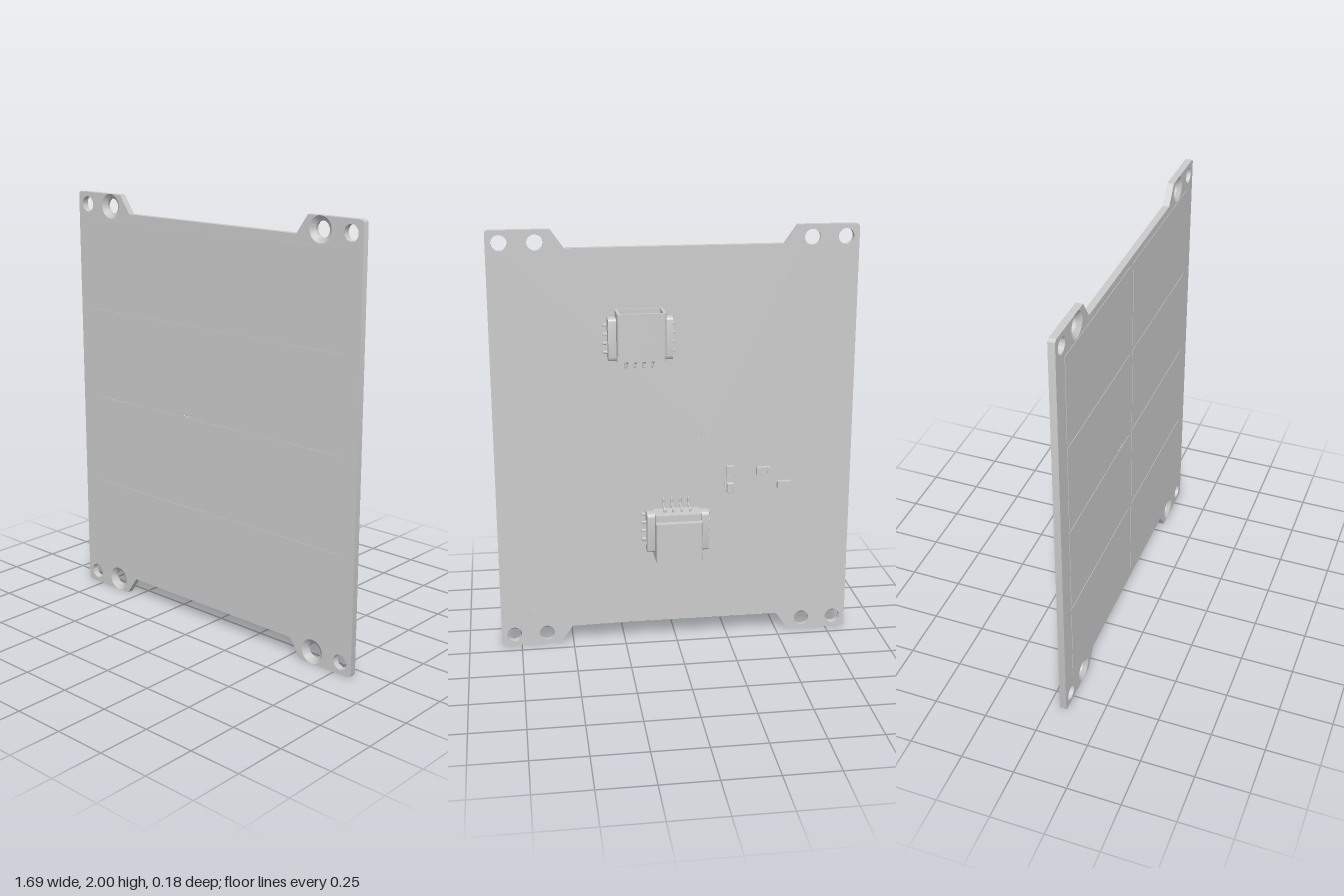
import * as THREE from 'three';
import { toCreasedNormals } from 'three/addons/utils/BufferGeometryUtils.js';
import { RoundedBoxGeometry } from 'three/addons/geometries/RoundedBoxGeometry.js';

const BACK = 0.055, FRONT = 0.086, MID = 0.07; // board depth levels
const grey = new THREE.MeshStandardMaterial({ color: 0xcccccc });

function add(parent, name, geometry, x = 0, y = 0, z = 0) {
  const mesh = new THREE.Mesh(geometry, grey);
  mesh.name = name;
  mesh.position.set(x, y, z);
  parent.add(mesh);
  return mesh;
}
const box = (w, h, d) => new THREE.BoxGeometry(w, h, d);

function roundedRect(target, x0, y0, x1, y1, r) {
  target.moveTo(x0 + r, y0);
  target.lineTo(x1 - r, y0).quadraticCurveTo(x1, y0, x1, y0 + r);
  target.lineTo(x1, y1 - r).quadraticCurveTo(x1, y1, x1 - r, y1);
  target.lineTo(x0 + r, y1).quadraticCurveTo(x0, y1, x0, y1 - r);
  target.lineTo(x0, y0 + r).quadraticCurveTo(x0, y0, x0 + r, y0);
  return target;
}

function extrude(shape, depth, curveSegments = 6) {
  return new THREE.ExtrudeGeometry(shape, { depth, bevelEnabled: false, curveSegments });
}

// Mounting holes: straight outer ones and countersunk inner ones
const mounts = [], sinks = [];
for (const sx of [-1, 1]) for (const y of [0.057, 1.943]) {
  mounts.push([sx * 0.784, y]);
  sinks.push([sx * 0.627, y]);
}
const vias = [[-0.155, 1.01], [-0.135, 1.01], [-0.115, 1.01]];
const blindVias = [[0.73, 0.18], [0.685, 0.18]];

// Board outline with four corner tabs
function boardShape(sinkRadius) {
  const W = 0.845, r = 0.02, s = new THREE.Shape();
  s.moveTo(-W + r, 0);
  s.lineTo(-0.56, 0).lineTo(-0.5, 0.088).lineTo(0.5, 0.088).lineTo(0.56, 0);
  s.lineTo(W - r, 0).quadraticCurveTo(W, 0, W, r);
  s.lineTo(W, 2 - r).quadraticCurveTo(W, 2, W - r, 2);
  s.lineTo(0.56, 2).lineTo(0.5, 1.915).lineTo(-0.5, 1.915).lineTo(-0.56, 2);
  s.lineTo(-W + r, 2).quadraticCurveTo(-W, 2, -W, 2 - r);
  s.lineTo(-W, r).quadraticCurveTo(-W, 0, -W + r, 0);
  const hole = ([x, y], radius) => s.holes.push(new THREE.Path().absarc(x, y, radius, 0, Math.PI * 2, true));
  mounts.forEach(p => hole(p, 0.036));
  sinks.forEach(p => hole(p, sinkRadius));
  [...vias, ...blindVias].forEach(p => hole(p, 0.005));
  return s;
}

function makeBoard() {
  const board = new THREE.Group();
  board.name = 'board';
  add(board, 'boardBackLayer', toCreasedNormals(extrude(boardShape(0.036), MID - BACK, 16), 0.5), 0, 0, BACK);
  // Taper the countersinks by narrowing their inner rim
  const front = extrude(boardShape(0.058), FRONT - MID, 16);
  const p = front.attributes.position;
  for (let i = 0; i < p.count; i++) {
    if (p.getZ(i) > 1e-5) continue;
    for (const [cx, cy] of sinks) {
      const dx = p.getX(i) - cx, dy = p.getY(i) - cy;
      if (Math.abs(Math.hypot(dx, dy) - 0.058) < 1e-4) {
        const k = 0.036 / 0.058;
        p.setXY(i, cx + dx * k, cy + dy * k);
      }
    }
  }
  front.computeVertexNormals();
  add(board, 'boardFrontLayer', toCreasedNormals(front, 0.5), 0, 0, MID);
  return board;
}

// Connector: opening towards +y, standing off the board towards -z
function makeConnector(name) {
  const g = new THREE.Group();
  g.name = name;
  const prism = (shape, y0, y1) => toCreasedNormals(extrude(shape, y1 - y0).rotateX(-Math.PI / 2).translate(0, y0, 0), 0.6);
  const section = () => roundedRect(new THREE.Shape(), -0.11, 0.01, 0.11, 0.142, 0.012);

  const shell = section();
  shell.holes.push(roundedRect(new THREE.Path(), -0.097, 0.02, 0.097, 0.13, 0.006));
  add(g, 'housingShell', prism(shell, -0.03, 0.1125));
  add(g, 'housingFloor', prism(section(), -0.08, -0.03));
  add(g, 'housingBase', prism(roundedRect(new THREE.Shape(), -0.11, 0.01, 0.11, 0.112, 0.012), -0.1125, -0.08));
  add(g, 'latchRib', box(0.05, 0.12, 0.025), 0, 0.035, -0.12);

  for (const side of [-1, 1]) {
    // Slotted ear
    const ear = roundedRect(new THREE.Shape(), 0.018, -0.1125, 0.086, 0.082, 0.018);
    ear.holes.push(roundedRect(new THREE.Path(), 0.045, -0.08, 0.062, 0.05, 0.008));
    const geo = extrude(ear, 0.038).rotateY(Math.PI / 2); // shape x becomes -z
    add(g, 'sideEar', toCreasedNormals(geo, 0.6), side > 0 ? 0.108 : -0.146);
    add(g, 'sideEarBridge', box(0.025, 0.16, 0.05), side * 0.12, -0.015, -0.052);
    // Solder feet
    for (let i = 0; i < 4; i++) {
      add(g, 'solderFoot', new RoundedBoxGeometry(0.06, 0.014, 0.012, 2, 0.004), side * 0.135, -0.087 + i * 0.042, -0.007);
    }
  }

  // Bent pins
  const bend = new THREE.CurvePath();
  const pts = [[0.06, 0.066], [-0.122, 0.066], [-0.128, 0.06], [-0.128, 0.014], [-0.134, 0.007], [-0.16, 0.007]]
    .map(([y, h]) => new THREE.Vector3(0, y, -h));
  for (let i = 1; i < pts.length; i++) bend.add(new THREE.LineCurve3(pts[i - 1], pts[i]));
  for (let i = 0; i < 4; i++) {
    const x = -0.06 + i * 0.04;
    add(g, 'contactPin', new THREE.TubeGeometry(bend, 60, 0.006, 8), x);
    add(g, 'pinTip', new THREE.SphereGeometry(0.006, 8, 6), x, 0.06, -0.066);
    add(g, 'pinToe', new THREE.SphereGeometry(0.006, 8, 6), x, -0.16, -0.007);
  }
  return g;
}

export function createModel() {
  const model = new THREE.Group();
  model.name = 'circuitBoard';
  model.add(makeBoard());

  // Thin front panels, two columns of four
  for (const sx of [-1, 1]) for (let row = 0; row < 4; row++) {
    add(model, 'frontPanel', box(0.738, 0.418, 0.002), sx * 0.388, 1.88 - 0.209 - row * 0.44, FRONT + 0.001);
  }

  // Two connectors on the back, the lower one turned over
  const upper = makeConnector('upperConnector');
  upper.position.set(0.17, 1.5275, BACK);
  const lower = makeConnector('lowerConnector');
  lower.position.set(0, 0.56, BACK);
  lower.rotation.z = Math.PI;
  model.add(upper, lower);

  // Small surface parts on the back
  for (const [x, y] of [[-0.418, 0.84], [-0.52, 0.765]]) {
    add(model, 'chip', box(0.042, 0.036, 0.022), x, y, BACK - 0.011);
    for (const s of [-1, 1]) add(model, 'chipEnd', box(0.012, 0.037, 0.023), x + s * 0.026, y, BACK - 0.0115);
  }
  add(model, 'capacitor', box(0.035, 0.036, 0.02), -0.258, 0.84, BACK - 0.01);
  for (const s of [-1, 1]) add(model, 'capacitorEnd', box(0.036, 0.012, 0.022), -0.258, 0.84 + s * 0.024, BACK - 0.011);
  add(model, 'transistor', new RoundedBoxGeometry(0.03, 0.05, 0.024, 2, 0.004), -0.258, 0.763, BACK - 0.016);
  for (const s of [-1, 1]) for (const dy of [-0.016, 0, 0.016]) {
    add(model, 'transistorLead', box(0.012, 0.007, 0.012), -0.258 + s * 0.019, 0.763 + dy, BACK - 0.006);
  }
  return model;
}
